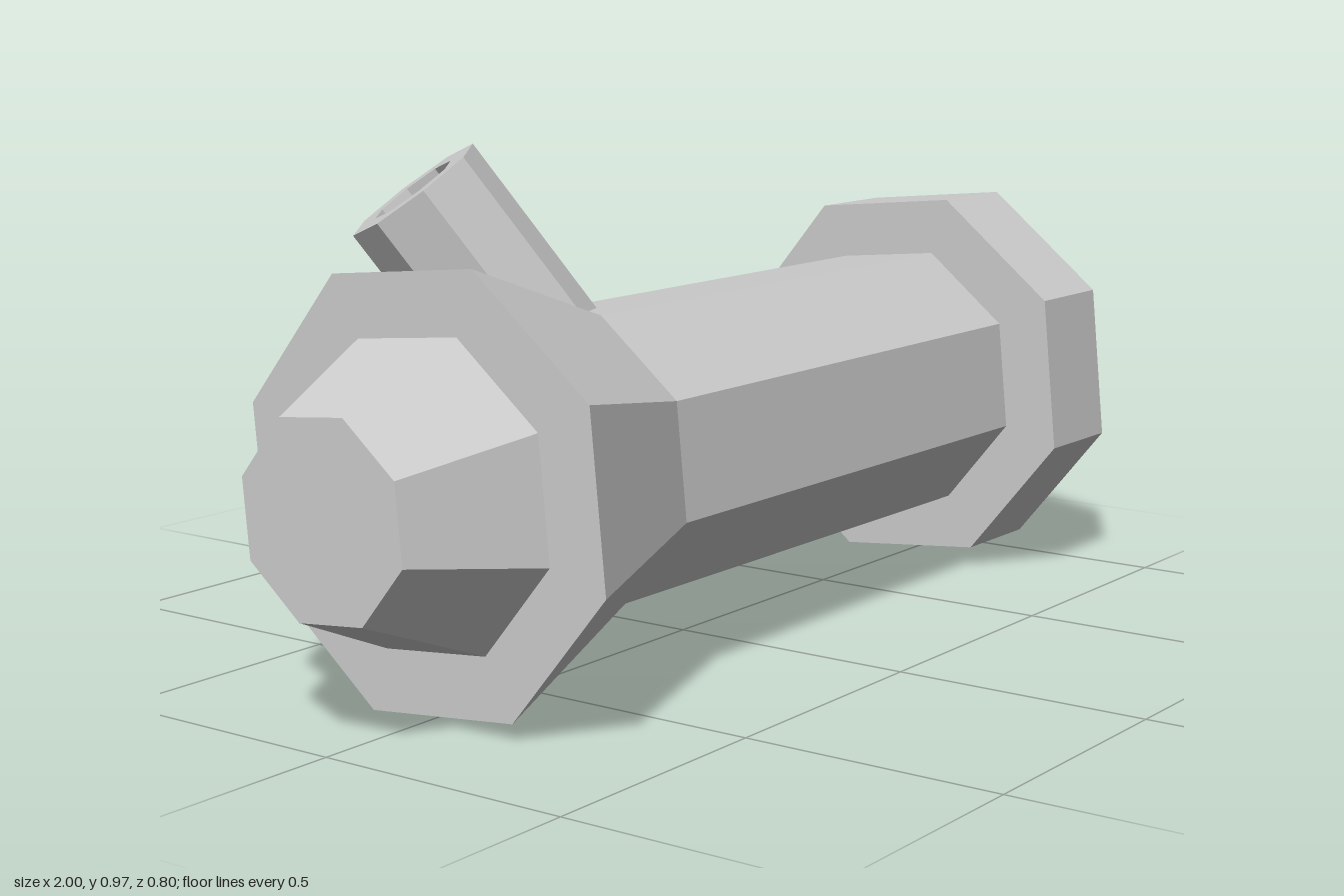
import * as THREE from 'three';

const SIDES = 8;
const AXIS_Y = 0.4; // height of the main axis
const TWIST = -1.278; // rotation of the octagon about the main axis

function turned(name, profile, phase) {
  const points = profile.map(([r, along]) => new THREE.Vector2(r, along));
  const geometry = new THREE.LatheGeometry(points, SIDES, phase);
  const material = new THREE.MeshStandardMaterial({ color: 0xcccccc, flatShading: true });
  const mesh = new THREE.Mesh(geometry, material);
  mesh.name = name;
  return mesh;
}

export function createModel() {
  const group = new THREE.Group();
  group.name = 'octagonalPipe';

  // Parts along the main x axis: [radius, x], listed from -x to +x
  const parts = {
    nose: [[0, -1], [0.187, -1], [0.295, -0.755]],
    flare: [[0.295, -0.755], [0.418, -0.755], [0.285, -0.36]],
    barrel: [[0.285, -0.36], [0.285, 0.785]],
    collar: [[0.285, 0.785], [0.406, 0.785], [0.406, 1], [0.252, 1]],
    bore: [[0.252, 1], [0.252, 0], [0, 0]],
  };
  for (const [name, profile] of Object.entries(parts)) {
    const mesh = turned(name, profile, TWIST);
    mesh.rotation.z = -Math.PI / 2;
    mesh.position.y = AXIS_Y;
    group.add(mesh);
  }

  // Slanted side tube with a shallow recess in its tip
  const tube = turned('sideTube', [
    [0, -0.42], [0.138, -0.42], [0.138, 0], [0.087, 0], [0.087, -0.09], [0, -0.09],
  ], 0);
  const dir = new THREE.Vector3(-0.41, 0.81, -0.43).normalize();
  const corner = new THREE.Vector3(0, 0.065, 0.12);
  corner.addScaledVector(dir, -corner.dot(dir)).normalize();
  const across = new THREE.Vector3().crossVectors(dir, corner);
  tube.quaternion.setFromRotationMatrix(new THREE.Matrix4().makeBasis(across, dir, corner));
  tube.position.set(-0.474, 0.888, -0.261);
  group.add(tube);

  return group;
}
